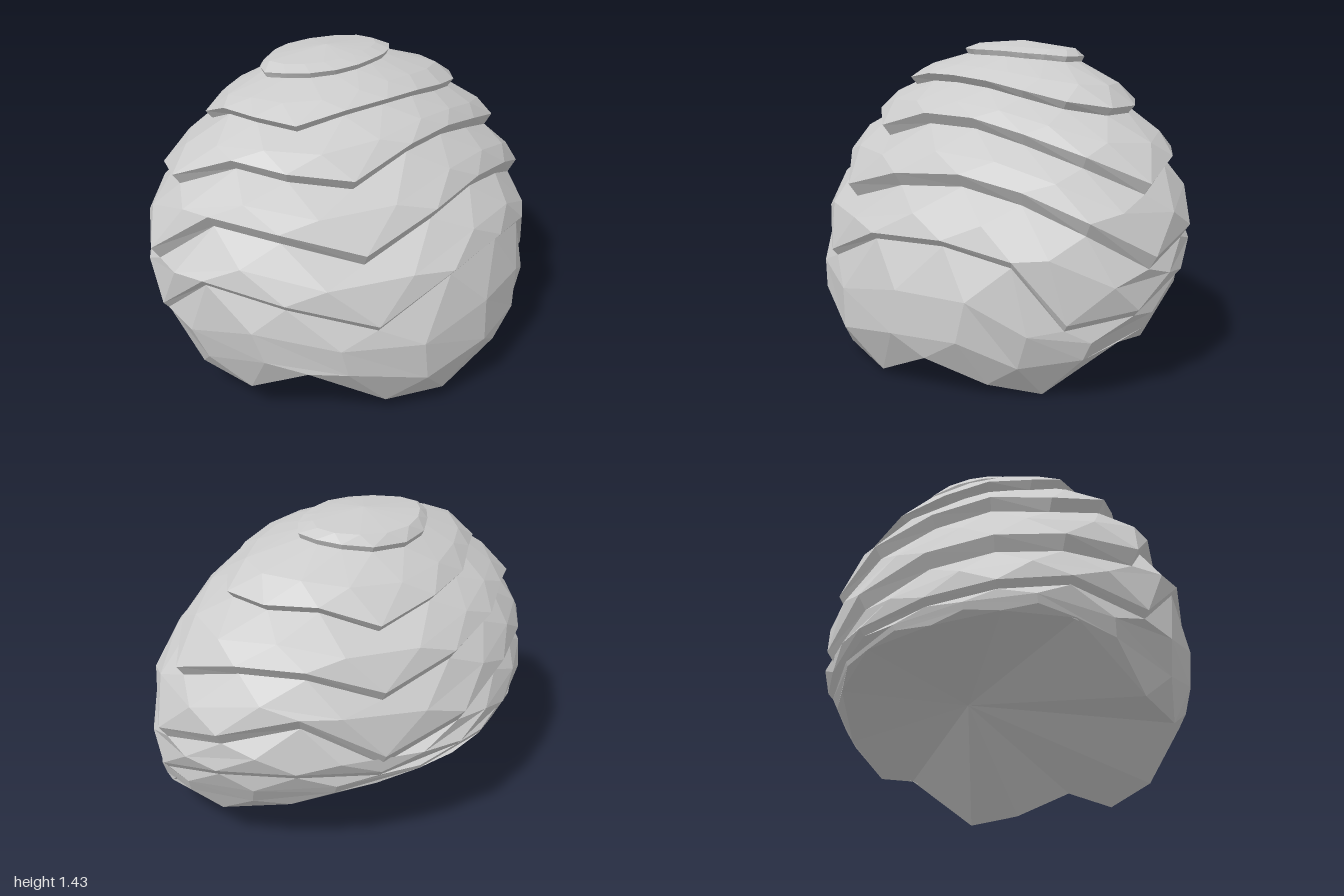
import * as THREE from 'three';

const N = 16; // points round each ring, from the front (+z) through +x

// Overall dome outline: height, centre x, half width, half depth
const OUTLINE = [
  [0, 0.08, 0.62, 0.76], [0.2, 0.1, 0.71, 0.88], [0.4, 0.03, 0.77, 0.96], [0.55, -0.015, 0.79, 1],
  [0.7, -0.04, 0.77, 1], [0.85, -0.06, 0.71, 0.95], [1, -0.085, 0.635, 0.87], [1.15, -0.085, 0.525, 0.71],
  [1.28, -0.1, 0.41, 0.56], [1.4, -0.14, 0.21, 0.28], [1.435, -0.17, 0, 0],
];

// Zigzag lower edge height of every layer, top layer first
const EDGES = [
  [1.36, 1.37, 1.375, 1.38, 1.385, 1.385, 1.38, 1.375, 1.365, 1.36, 1.35, 1.335, 1.33, 1.335, 1.35, 1.355],
  [1.25, 1.25, 1.23, 1.27, 1.28, 1.27, 1.24, 1.2, 1.17, 1.16, 1.16, 1.08, 1.14, 1.16, 1.2, 1.18],
  [1.0, 1.1, 1.07, 1.03, 1.12, 1.12, 1.07, 0.99, 0.88, 0.95, 0.94, 0.83, 0.92, 0.97, 1.01, 0.96],
  [0.7, 0.9, 0.86, 0.76, 0.87, 0.9, 0.85, 0.74, 0.59, 0.66, 0.75, 0.54, 0.65, 0.74, 0.76, 0.74],
  [0.46, 0.67, 0.6, 0.48, 0.64, 0.66, 0.6, 0.34, 0.38, 0.48, 0.5, 0.46, 0.51, 0.54, 0.56, 0.56],
  [0.17, 0.14, 0.28, 0.06, 0.02, 0.16, 0.05, 0, 0.25, 0.19, 0.28, 0.39, 0.44, 0.45, 0.46, 0.42],
];

// Height and depth of the step under each layer
const STEPS = [[0.025, 0.012], [0.035, 0.03], [0.05, 0.035], [0.06, 0.04], [0.03, 0.025]];

const angle = (j) => (j / N) * Math.PI * 2;

// Point on the dome at ring position j and height y, pushed in by inset and lowered by drop
function domePoint(j, y, inset = 0, drop = 0) {
  let i = 0;
  while (i < OUTLINE.length - 2 && y > OUTLINE[i + 1][0]) i++;
  const lo = OUTLINE[i], hi = OUTLINE[i + 1];
  const t = (y - lo[0]) / (hi[0] - lo[0]);
  const [cx, rx, rz] = [1, 2, 3].map((k) => THREE.MathUtils.lerp(lo[k], hi[k], t));
  const s = Math.sin(angle(j)), c = Math.cos(angle(j));
  // The front-left and back-right quarters differ: two opposite quarters are flatter
  const flat = 1 - 0.09 * Math.max(0, -2 * s * c);
  // The front end leans a little to -x and the back end to +x
  return new THREE.Vector3(cx + (rx * flat - inset) * s - 0.07 * rz * c, y - drop, (rz * flat - inset) * c);
}

const ring = (fn) => Array.from({ length: N }, (_, j) => fn(j));

// Faceted skin through a list of rings; the first band's diagonal suits a staggered second ring
function skin(name, rings) {
  const pos = [], index = [];
  rings.forEach((r) => r.forEach((p) => pos.push(p.x, p.y, p.z)));
  for (let r = 0; r < rings.length - 1; r++) {
    for (let j = 0; j < N; j++) {
      const k = (j + 1) % N;
      const a = r * N + j, d = r * N + k, b = a + N, c = d + N;
      if (r === 0) index.push(a, b, d, d, b, c);
      else index.push(a, b, c, a, c, d);
    }
  }
  const g = new THREE.BufferGeometry();
  g.setAttribute('position', new THREE.Float32BufferAttribute(pos, 3));
  g.setIndex(index);
  const flat = g.toNonIndexed();
  flat.computeVertexNormals();
  const mesh = new THREE.Mesh(flat, new THREE.MeshStandardMaterial({ color: 0xcccccc, flatShading: true }));
  mesh.name = name;
  return mesh;
}

export function createModel() {
  const group = new THREE.Group();
  group.name = 'layeredDome';

  // Middle ring between two rings, half a step round for staggered facets
  const between = (upper, lower, t, inset) => ring((j) => {
    const k = (j + 1) % N;
    const y = THREE.MathUtils.lerp(upper[j].y + upper[k].y, lower[j].y + lower[k].y, t) / 2;
    return domePoint(j + 0.5, y, inset);
  });

  // Overlapping layers, each starting at the foot of the step above
  let top = ring(() => new THREE.Vector3(-0.16, 1.43, 0));
  STEPS.forEach(([height, depth], i) => {
    const lip = ring((j) => domePoint(j, EDGES[i][j] + height / 2));
    const foot = ring((j) => domePoint(j, EDGES[i][j] + height / 2, depth, height));
    const middle = between(top, lip, 0.5, i === 0 ? -0.02 : 0.01);
    group.add(skin(`layer${i + 1}`, [top, middle, lip, foot]));
    top = foot;
  });

  // Lowest layer with its rounded lobes
  const rim = ring((j) => domePoint(j, EDGES[5][j], 0.01));
  group.add(skin('lobedSkirt', [top, between(top, rim, 0.35, 0), between(top, rim, 0.7, 0), rim]));

  // Hollow underside, running from the lobed rim up to a point behind the middle
  const centre = new THREE.Vector3(0, 0.45, -0.25);
  const inward = (t) => ring((j) => rim[j].clone().lerp(centre, t));
  group.add(skin('underside', [rim, inward(0.3), inward(0.65), inward(1)]));
  return group;
}
